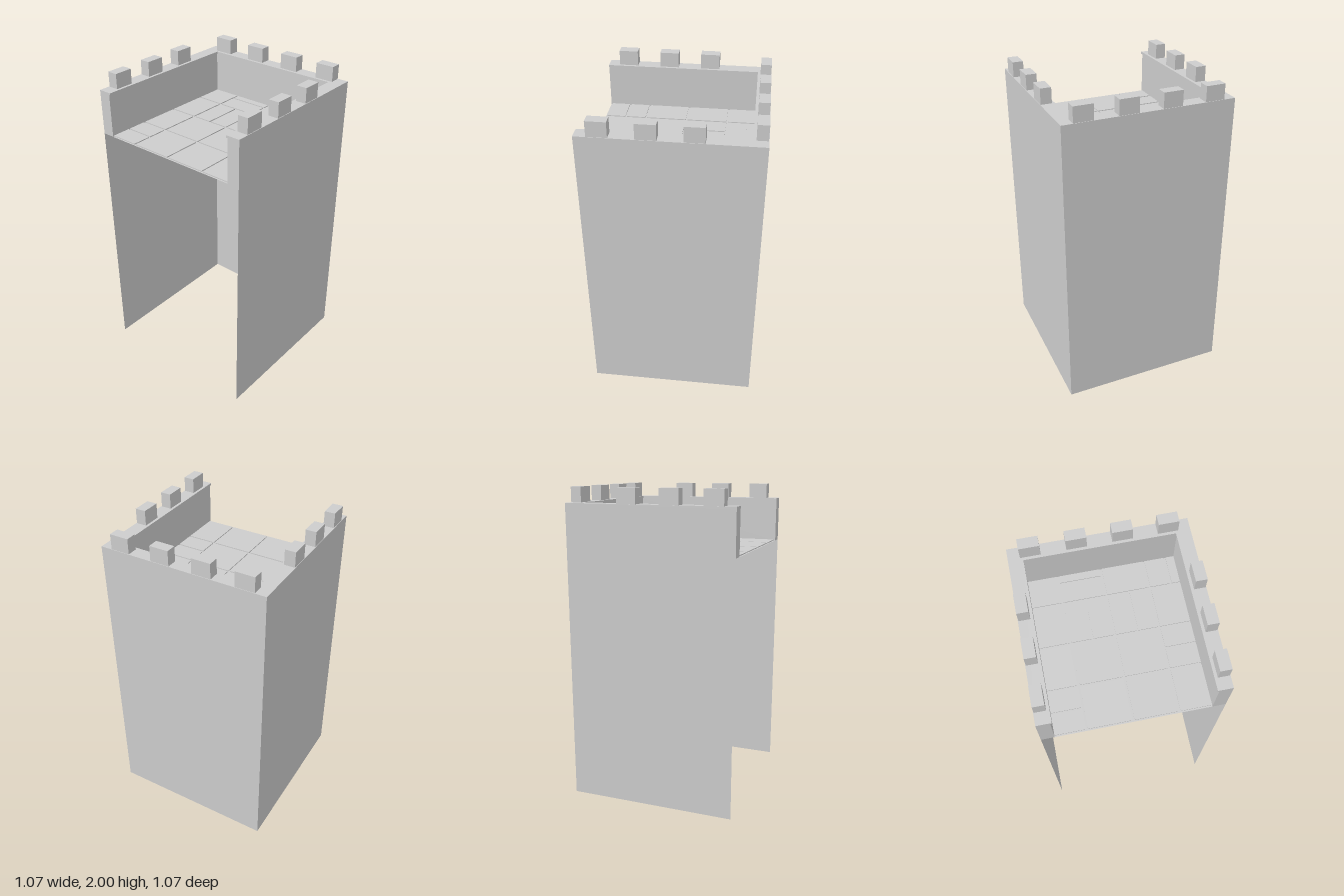
import * as THREE from 'three';

const H = 0.537;        // half width of the tower
const FLOOR = 1.618;    // height of the grout bed
const TOP = 1.905;      // top of the parapet

export function createModel() {
  const group = new THREE.Group();
  const stone = new THREE.MeshStandardMaterial({ color: 0xcccccc, side: THREE.DoubleSide });
  stone.name = 'greyStone';

  const add = (name, geometry, x = 0, y = 0, z = 0) => {
    const mesh = new THREE.Mesh(geometry, stone);
    mesh.name = name;
    mesh.position.set(x, y, z);
    group.add(mesh);
    return mesh;
  };

  // Thin outer walls, open at the front and underneath
  const wall = () => new THREE.PlaneGeometry(2 * H, FLOOR);
  add('backWall', wall().rotateY(Math.PI), 0, FLOOR / 2, -H);
  add('leftWall', wall().rotateY(Math.PI / 2), H, FLOOR / 2, 0);
  add('rightWall', wall().rotateY(-Math.PI / 2), -H, FLOOR / 2, 0);

  // U-shaped parapet with a slightly overhanging cap
  const ring = (inner, y0, y1) => {
    const outline = [[-H, H], [-H, -H], [H, -H], [H, H], [inner, H],
      [inner, -inner], [-inner, -inner], [-inner, H]];
    const shape = new THREE.Shape(outline.map(([x, z]) => new THREE.Vector2(x, z)));
    return new THREE.ExtrudeGeometry(shape, { depth: y1 - y0, bevelEnabled: false })
      .rotateX(Math.PI / 2).translate(0, y1, 0);
  };
  add('parapet', ring(0.458, FLOOR, 1.89));
  add('parapetCap', ring(0.449, 1.89, TOP));

  // Merlons along the back and both sides
  const merlonHeight = 2 - TOP;
  const my = TOP + merlonHeight / 2;
  for (const x of [-0.405, -0.135, 0.135, 0.405]) {
    add('backMerlon', new THREE.BoxGeometry(0.121, merlonHeight, 0.067), x, my, -0.5);
  }
  for (const side of [-1, 1]) {
    for (const z of [-0.136, 0.132, 0.403]) {
      add('sideMerlon', new THREE.BoxGeometry(0.067, merlonHeight, 0.121), side * 0.5, my, z);
    }
  }

  // Floor bed with raised paving slabs
  add('floorBed', new THREE.PlaneGeometry(2 * H, 2 * H).rotateX(-Math.PI / 2), 0, FLOOR, 0);
  const slab = (x0, x1, z0, z1) => add('floorSlab',
    new THREE.BoxGeometry(x1 - x0, 0.006, z1 - z0), (x0 + x1) / 2, FLOOR + 0.003, (z0 + z1) / 2);

  const columns = [[-0.458, -0.277], [-0.265, -0.008], [0.004, 0.261], [0.273, 0.458]];
  const rows = [[-0.458, -0.278], [-0.267, -0.01], [0.003, 0.26], [0.272, 0.528]];
  // Slabs cut in two, keyed by row and column
  const cuts = {
    '0,1': ['z', -0.406], '0,3': ['x', 0.401], '1,1': ['x', -0.137],
    '1,2': ['x', 0.134], '2,3': ['z', 0.132], '3,0': ['z', 0.402],
  };
  const gap = 0.006;
  rows.forEach(([z0, z1], r) => columns.forEach(([x0, x1], c) => {
    const [axis, at] = cuts[`${r},${c}`] || [];
    if (axis === 'x') {
      slab(x0, at - gap, z0, z1);
      slab(at + gap, x1, z0, z1);
    } else if (axis === 'z') {
      slab(x0, x1, z0, at - gap);
      slab(x0, x1, at + gap, z1);
    } else {
      slab(x0, x1, z0, z1);
    }
  }));

  return group;
}
